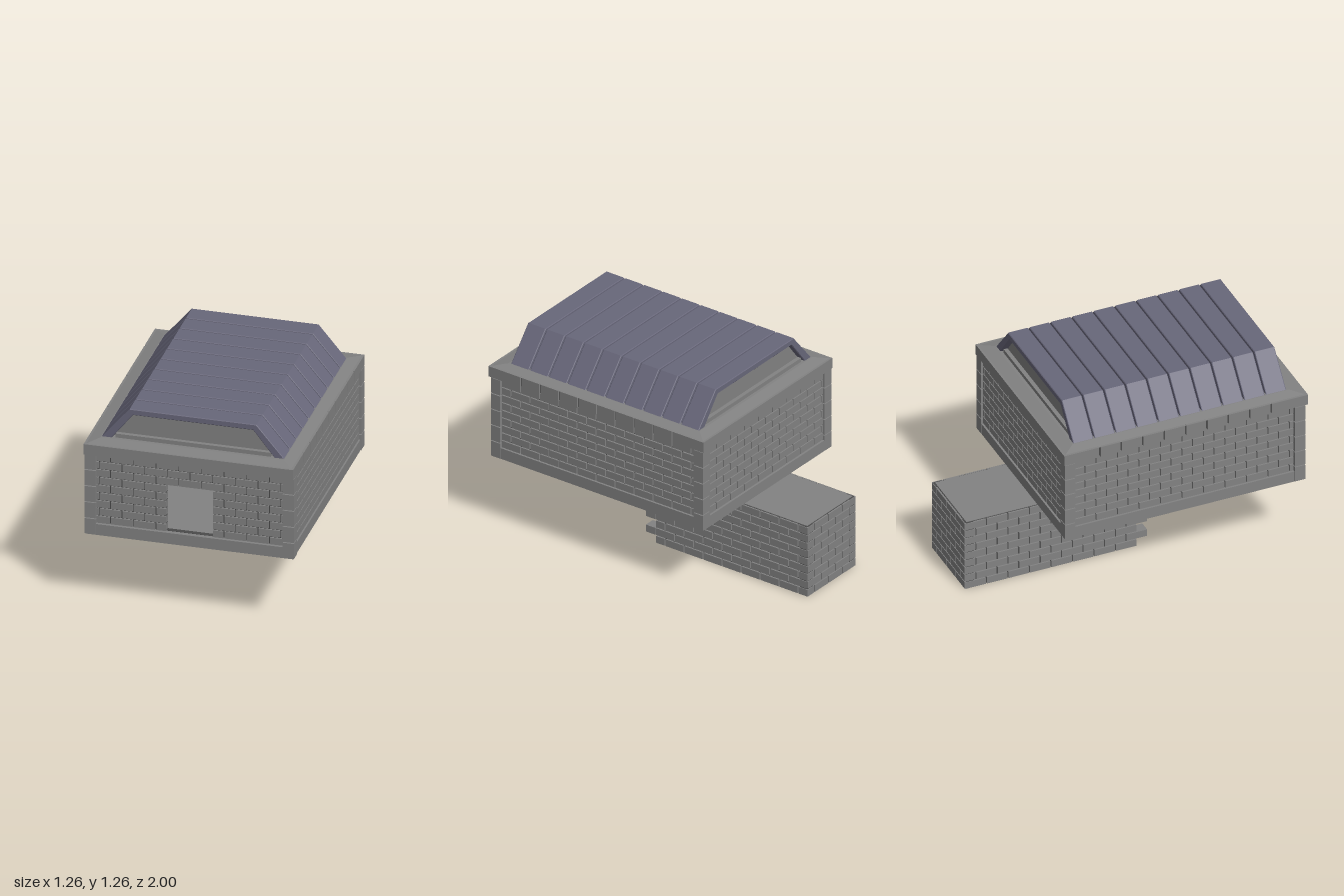
import * as THREE from 'three';
import { mergeGeometries } from 'three/addons/utils/BufferGeometryUtils.js';

const material = (color) => new THREE.MeshStandardMaterial({ color, flatShading: true });
const stone = material(0x828282);
const mortar = material(0x4a4a4a);
const slate = material(0x68677a);
const paleStone = material(0xcccccc);

const ROW = 0.05;      // brick course height
const BRICK = 0.136;   // brick pitch
const GAP = 0.007;     // joint width

// Axis-aligned box from its limits
function block(x0, x1, y0, y1, z0, z1) {
  return new THREE.BoxGeometry(x1 - x0, y1 - y0, z1 - z0)
    .translate((x0 + x1) / 2, (y0 + y1) / 2, (z0 + z1) / 2);
}

// Box whose top is narrowed to the factors kx and kz
function taper(geometry, kx, kz) {
  geometry.computeBoundingBox();
  const c = geometry.boundingBox.getCenter(new THREE.Vector3());
  const p = geometry.attributes.position;
  for (let i = 0; i < p.count; i++) {
    if (p.getY(i) < c.y) continue;
    p.setX(i, c.x + (p.getX(i) - c.x) * kx);
    p.setZ(i, c.z + (p.getZ(i) - c.z) * kz);
  }
  geometry.computeVertexNormals();
  return geometry;
}

function polygon(points) {
  return new THREE.Shape(points.map(([x, y]) => new THREE.Vector2(x, y)));
}

function rect(x0, x1, y0, y1) {
  return polygon([[x0, y0], [x1, y0], [x1, y1], [x0, y1]]);
}

function add(group, name, geometry, mat = stone) {
  const mesh = new THREE.Mesh(geometry, mat);
  mesh.name = name;
  group.add(mesh);
  return mesh;
}

// Running-bond wall along x, outer face at z = 0, facing +z.
// The hole {x0, x1, y0, y1} is left open; tooth lengthens every second course at x1.
function brickWall(name, { x0, x1, y0, rows, row = ROW, depth, hole, tooth = 0, phase = 0 }) {
  const wall = new THREE.Group();
  wall.name = name;
  const bricks = [];
  const lay = (a, b, y) => {
    if (b - a > 0.02) {
      bricks.push(block(a + GAP / 2, b - GAP / 2, y + GAP / 2, y + row - GAP / 2, -depth, 0));
    }
  };
  for (let r = 0; r < rows; r++) {
    const y = y0 + r * row;
    const end = x1 + (r % 2 ? tooth : 0);
    const open = hole && y + row / 2 > hole.y0 && y + row / 2 < hole.y1;
    for (let x = x0 - (((r + phase) % 2) * BRICK) / 2; x < end; x += BRICK) {
      const a = Math.max(x, x0), b = Math.min(x + BRICK, end);
      if (!open) lay(a, b, y);
      else {
        lay(a, Math.min(b, hole.x0), y);
        lay(Math.max(a, hole.x1), b, y);
      }
    }
  }
  add(wall, name + 'Bricks', mergeGeometries(bricks));

  // Mortar core, slightly inside both brick faces
  const shape = rect(x0 + 0.005, x1 - 0.005, y0 + 0.003, y0 + rows * row - 0.003);
  if (hole) shape.holes.push(rect(hole.x0 - 0.004, hole.x1 + 0.004, hole.y0 + 0.004, hole.y1 + 0.004));
  const core = new THREE.ExtrudeGeometry(shape, { depth: depth - 0.02, bevelEnabled: false });
  add(wall, name + 'Mortar', core.translate(0, 0, 0.01 - depth), mortar);
  return wall;
}

function place(group, wall, x, z, angle) {
  wall.position.set(x, 0, z);
  wall.rotation.y = angle;
  group.add(wall);
}

function hall() {
  const g = new THREE.Group();
  g.name = 'hall';
  add(g, 'floorSlab', block(-0.622, 0.622, 0.46, 0.53, -0.537, 0.977));

  // Four brick walls
  const course = { y0: 0.53, rows: 9, depth: 0.05 };
  const door = { x0: -0.14, x1: 0.135, y0: 0.53, y1: 0.83 };
  place(g, brickWall('frontWall', { ...course, x0: -0.612, x1: 0.612, hole: door }), 0, 0.965, 0);
  place(g, brickWall('backWall', { ...course, x0: -0.612, x1: 0.612 }), 0, -0.527, Math.PI);
  for (const s of [1, -1]) {
    place(g, brickWall(s > 0 ? 'leftWall' : 'rightWall', { ...course, x0: -0.695, x1: 0.695 }),
      s * 0.614, 0.22, s * Math.PI / 2);
  }

  // Corner posts of stacked blocks
  const posts = [];
  for (const s of [1, -1]) {
    for (const [za, zb] of [[0.915, 0.98], [-0.54, -0.475]]) {
      for (let i = 0; i < 5; i++) {
        const y = 0.46 + i * 0.104;
        const xs = [s * 0.56, s * 0.628].sort((a, b) => a - b);
        posts.push(block(xs[0], xs[1], y + 0.003, y + 0.101, za, zb));
      }
    }
  }
  add(g, 'cornerPosts', mergeGeometries(posts));

  // Cornice: end beams, jointed side beams and a gently sloped cap
  const beams = [block(-0.628, 0.628, 0.98, 1.047, 0.92, 0.998), block(-0.628, 0.628, 0.98, 1.047, -0.545, -0.46)];
  const pitch = 0.1355;
  const joints = [0.985, ...Array.from({ length: 9 }, (_, i) => 0.9 - (i + 1) * pitch), -0.54];
  for (const s of [1, -1]) {
    for (let i = 0; i < 10; i++) {
      const xs = [s * 0.53, s * 0.628].sort((a, b) => a - b);
      beams.push(block(xs[0], xs[1], 0.98, 1.047, joints[i + 1] + 0.005, joints[i] - 0.005));
    }
  }
  add(g, 'corniceBeams', mergeGeometries(beams));
  add(g, 'corniceCore', block(-0.618, 0.618, 0.983, 1.045, -0.53, 0.98), mortar);
  add(g, 'corniceCap', taper(block(-0.625, 0.625, 1.045, 1.06, -0.543, 0.996), 0.88, 0.89));
  return g;
}

function roof() {
  const g = new THREE.Group();
  g.name = 'roof';
  const outer = [[-0.55, 1.055], [0.55, 1.055], [0.38, 1.257], [-0.38, 1.257]];
  const inner = [[-0.49, 1.055], [0.49, 1.055], [0.36, 1.22], [-0.36, 1.22]];

  // Ten arched panels with thin bevelled seams
  const arch = polygon([outer[0], inner[0], inner[3], inner[2], inner[1], outer[1], outer[2], outer[3]]);
  const pitch = 0.1355, bevel = 0.004;
  for (let i = 0; i < 10; i++) {
    const panel = new THREE.ExtrudeGeometry(arch, {
      depth: pitch - 0.009 - 2 * bevel, bevelEnabled: true, bevelSegments: 1,
      bevelThickness: bevel, bevelSize: bevel, bevelOffset: -bevel,
    });
    add(g, 'roofPanel', panel.translate(0, 0, 0.9 - (i + 1) * pitch + 0.0045 + bevel), slate);
  }

  // Solid stone filling, recessed at both gables
  const filling = new THREE.ExtrudeGeometry(polygon(inner), { depth: 1.27, bevelEnabled: false });
  add(g, 'gableFilling', filling.translate(0, 0, -0.41));
  for (const z of [0.865, -0.44]) {
    add(g, 'gableSill', block(-0.465, 0.465, 1.055, 1.085, z, z + 0.025));
  }
  return g;
}

function stairTunnel() {
  const g = new THREE.Group();
  g.name = 'stairTunnel';
  const course = { y0: 0, rows: 9, row: 0.0511, depth: 0.068 };

  // Side walls with toothed front ends; the right one mirrors the left
  for (const s of [1, -1]) {
    const wall = brickWall(s > 0 ? 'leftTunnelWall' : 'rightTunnelWall', s > 0
      ? { ...course, x0: -0.09, x1: 1, phase: 1 }
      : { ...course, x0: -1, x1: 0.09, tooth: 0.07 });
    place(g, wall, s > 0 ? 0.232 : -0.24, 0, s * Math.PI / 2);
  }
  const teeth = [];
  for (let r = 1; r < 9; r += 2) {
    teeth.push(block(0.164, 0.232, r * 0.0511 + 0.003, (r + 1) * 0.0511 - 0.003, 0.09, 0.16));
  }
  add(g, 'leftWallTeeth', mergeGeometries(teeth));
  place(g, brickWall('tunnelBackWall', { ...course, x0: -0.232, x1: 0.24, phase: 1 }), 0, -1, Math.PI);

  // Floor, roof slab and steps
  add(g, 'tunnelFloor', block(-0.18, 0.17, 0, 0.02, -0.98, -0.41));
  add(g, 'tunnelRoof', block(-0.225, 0.217, 0.44, 0.46, -0.985, -0.5));
  const count = 13;
  const steps = [];
  for (let i = 0; i < count; i++) {
    steps.push(block(-0.18, 0.17, i * 0.034, (i + 1) * 0.034, -0.96, -0.41 - i * 0.041));
  }
  add(g, 'steps', mergeGeometries(steps));
  return g;
}

function tomb() {
  const g = new THREE.Group();
  g.name = 'tomb';
  add(g, 'tombBase', block(-0.19, 0.19, 0.53, 0.6, -0.15, 0.35), paleStone);
  add(g, 'tombLid', taper(block(-0.2, 0.2, 0.605, 0.66, -0.16, 0.36), 0.5, 0.85), paleStone);
  add(g, 'tombLidEdge', block(-0.2, 0.2, 0.598, 0.606, -0.16, 0.36), paleStone);
  return g;
}

export function createModel() {
  const model = new THREE.Group();
  model.name = 'brickCrypt';
  model.add(hall(), roof(), stairTunnel(), tomb());
  return model;
}
